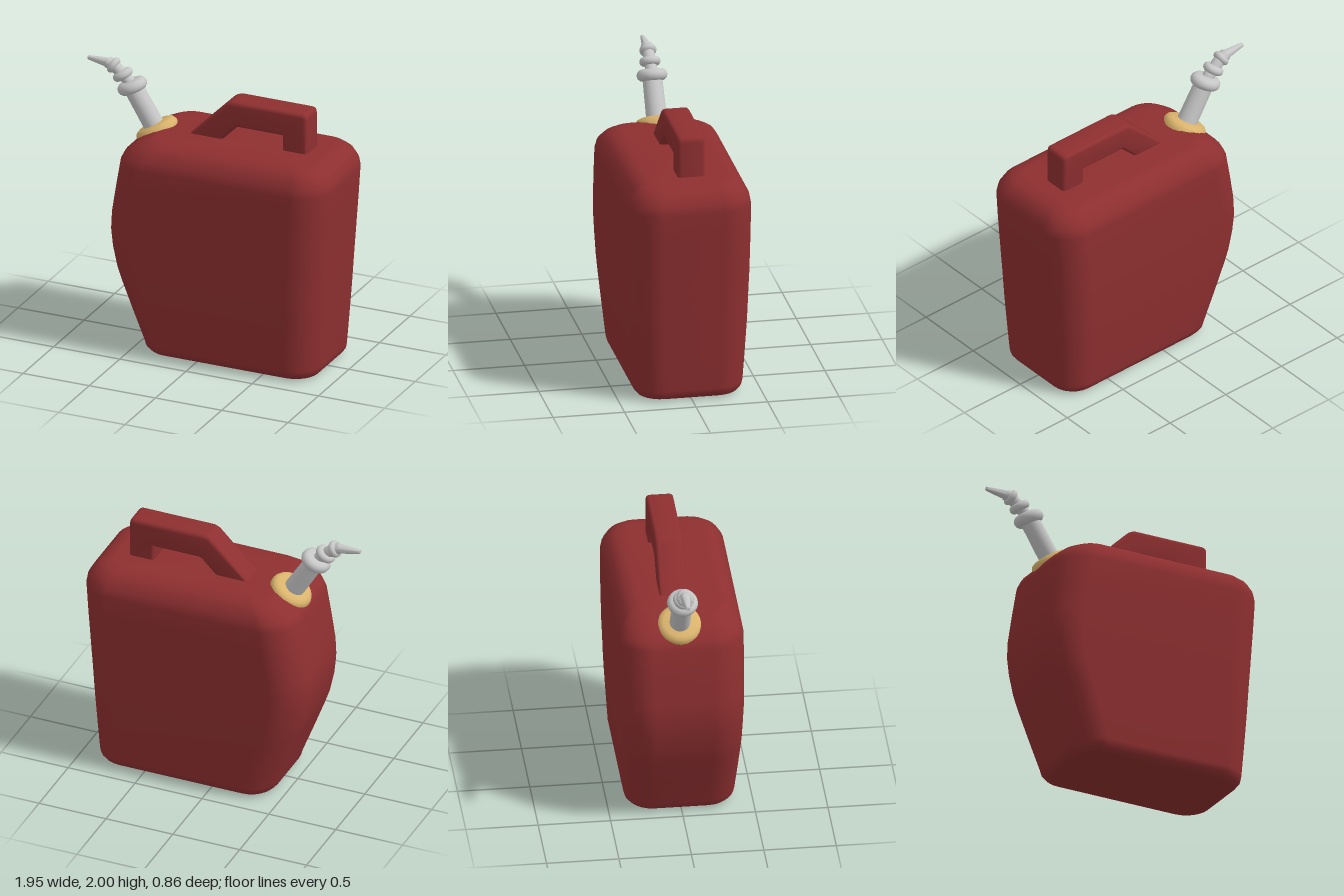
import * as THREE from 'three';
import { toCreasedNormals } from 'three/addons/utils/BufferGeometryUtils.js';

const red = new THREE.MeshStandardMaterial({ color: 0x8e2f30 });
red.name = 'red plastic';
const gold = new THREE.MeshStandardMaterial({ color: 0xd9b36c });
gold.name = 'tan cap';
const grey = new THREE.MeshStandardMaterial({ color: 0xc6c6c6 });
grey.name = 'grey spout';

const SPOUT_Z = -0.02;

function add(group, name, geometry, material) {
  const mesh = new THREE.Mesh(geometry, material);
  mesh.name = name;
  group.add(mesh);
  return mesh;
}

// Loft of rounded rectangles, each [y, left x, right x, half depth, corner radius]
function loftBody(levels, steps = 6) {
  const pos = [], index = [];
  const n = 4 * (steps + 1);
  for (const [y, x0, x1, d, r] of levels) {
    for (let c = 0; c < 4; c++) {
      const cx = c === 0 || c === 3 ? x1 - r : x0 + r;
      const cz = c < 2 ? d - r : r - d;
      for (let s = 0; s <= steps; s++) {
        const a = (c + s / steps) * Math.PI / 2;
        pos.push(cx + r * Math.cos(a), y, cz + r * Math.sin(a));
      }
    }
  }
  const last = (levels.length - 1) * n;
  const bottom = pos.length / 3, top = bottom + 1;
  for (const l of [levels[0], levels[levels.length - 1]]) pos.push((l[1] + l[2]) / 2, l[0], 0);
  for (let j = 0; j < n; j++) {
    const k = (j + 1) % n;
    for (let o = 0; o < last; o += n) {
      index.push(o + j, o + n + j, o + k, o + k, o + n + j, o + n + k);
    }
    index.push(bottom, j, k, top, last + k, last + j);
  }
  const g = new THREE.BufferGeometry();
  g.setAttribute('position', new THREE.Float32BufferAttribute(pos, 3));
  g.setIndex(index);
  g.computeVertexNormals();
  return g;
}

// Turned part: profile of [radius, height], axis tilted towards (dx, dy)
function turned(group, name, profile, material, x, y, dx, dy) {
  const points = profile.map(([r, h]) => new THREE.Vector2(r, h));
  const g = toCreasedNormals(new THREE.LatheGeometry(points, 24), 0.75);
  const mesh = add(group, name, g, material);
  mesh.position.set(x, y, SPOUT_Z);
  mesh.rotation.z = Math.atan2(-dx, dy);
  return mesh;
}

// Disc profile with a rounded rim
function discProfile(r, h) {
  const b = h / 2, p = [[0, -b]];
  for (let i = 0; i <= 6; i++) {
    const a = (i / 6 - 0.5) * Math.PI;
    p.push([r - b + b * Math.cos(a), b * Math.sin(a)]);
  }
  p.push([0, b]);
  return p;
}

export function createModel() {
  const model = new THREE.Group();
  model.name = 'fuelCan';

  // Can body
  add(model, 'body', loftBody([
    [0, -0.36, 0.81, 0.31, 0.13],
    [0.015, -0.4, 0.85, 0.35, 0.165],
    [0.045, -0.43, 0.875, 0.375, 0.19],
    [0.08, -0.44, 0.882, 0.384, 0.2],
    [0.3, -0.525, 0.897, 0.398, 0.205],
    [0.5, -0.6, 0.91, 0.41, 0.21],
    [0.6, -0.635, 0.917, 0.415, 0.215],
    [0.75, -0.668, 0.927, 0.42, 0.22],
    [0.88, -0.68, 0.935, 0.425, 0.22],
    [1.0, -0.673, 0.943, 0.427, 0.22],
    [1.2, -0.64, 0.957, 0.43, 0.22],
    [1.4, -0.605, 0.97, 0.43, 0.22],
    [1.46, -0.575, 0.96, 0.418, 0.21],
    [1.52, -0.5, 0.925, 0.382, 0.18],
    [1.56, -0.425, 0.875, 0.335, 0.15],
    [1.58, -0.36, 0.8, 0.265, 0.11]
  ]), red);

  // Carrying handle
  const s = new THREE.Shape();
  s.moveTo(-0.21, 1.54);
  s.lineTo(0.09, 1.84);
  s.quadraticCurveTo(0.12, 1.87, 0.16, 1.87);
  s.lineTo(0.67, 1.87);
  s.quadraticCurveTo(0.71, 1.87, 0.71, 1.83);
  s.lineTo(0.71, 1.54);
  s.lineTo(0.525, 1.54);
  s.lineTo(0.525, 1.685);
  s.lineTo(0.2, 1.685);
  s.quadraticCurveTo(0.18, 1.685, 0.165, 1.67);
  s.lineTo(0.035, 1.54);
  s.closePath();
  const bevel = 0.025, width = 0.19;
  const handle = new THREE.ExtrudeGeometry(s, {
    depth: width - 2 * bevel, bevelEnabled: true, bevelThickness: bevel,
    bevelSize: bevel, bevelOffset: -bevel, bevelSegments: 3, curveSegments: 5
  });
  handle.translate(0, 0, -0.027 - width / 2 + bevel);
  add(model, 'handle', toCreasedNormals(handle, 0.7), red);

  // Screw cap at the shoulder
  turned(model, 'cap', [
    [0, -0.06], [0.14, -0.06], [0.153, -0.04], [0.153, 0.005],
    [0.14, 0.03], [0.115, 0.042], [0, 0.042]
  ], gold, -0.46, 1.525, -0.5, 0.866);

  // Spout: straight pipe, ribbed elbow and tapered tip
  const spout = new THREE.Group();
  spout.name = 'spout';
  model.add(spout);
  turned(spout, 'pipe', [[0, 0], [0.072, 0], [0.068, 0.34], [0, 0.34]],
    grey, -0.468, 1.53, -0.53, 0.85);
  const path = new THREE.CatmullRomCurve3([
    [-0.635, 1.79], [-0.66, 1.83], [-0.717, 1.885], [-0.786, 1.94], [-0.83, 1.957]
  ].map(([x, y]) => new THREE.Vector3(x, y, SPOUT_Z)));
  add(spout, 'elbow', new THREE.TubeGeometry(path, 16, 0.042, 16), grey);
  const rings = [
    ['collar', 0.107, 0.085, -0.645, 1.813, -0.42, 0.91],
    ['middleRib', 0.074, 0.06, -0.717, 1.885, -0.55, 0.83],
    ['upperRib', 0.06, 0.05, -0.786, 1.942, -0.86, 0.5]
  ];
  for (const [name, r, h, x, y, dx, dy] of rings) {
    turned(spout, name, discProfile(r, h), grey, x, y, dx, dy);
  }
  turned(spout, 'tip', [[0, 0], [0.036, 0], [0.03, 0.06], [0.015, 0.18], [0, 0.18]],
    grey, -0.798, 1.952, -0.995, 0.08);

  return model;
}
